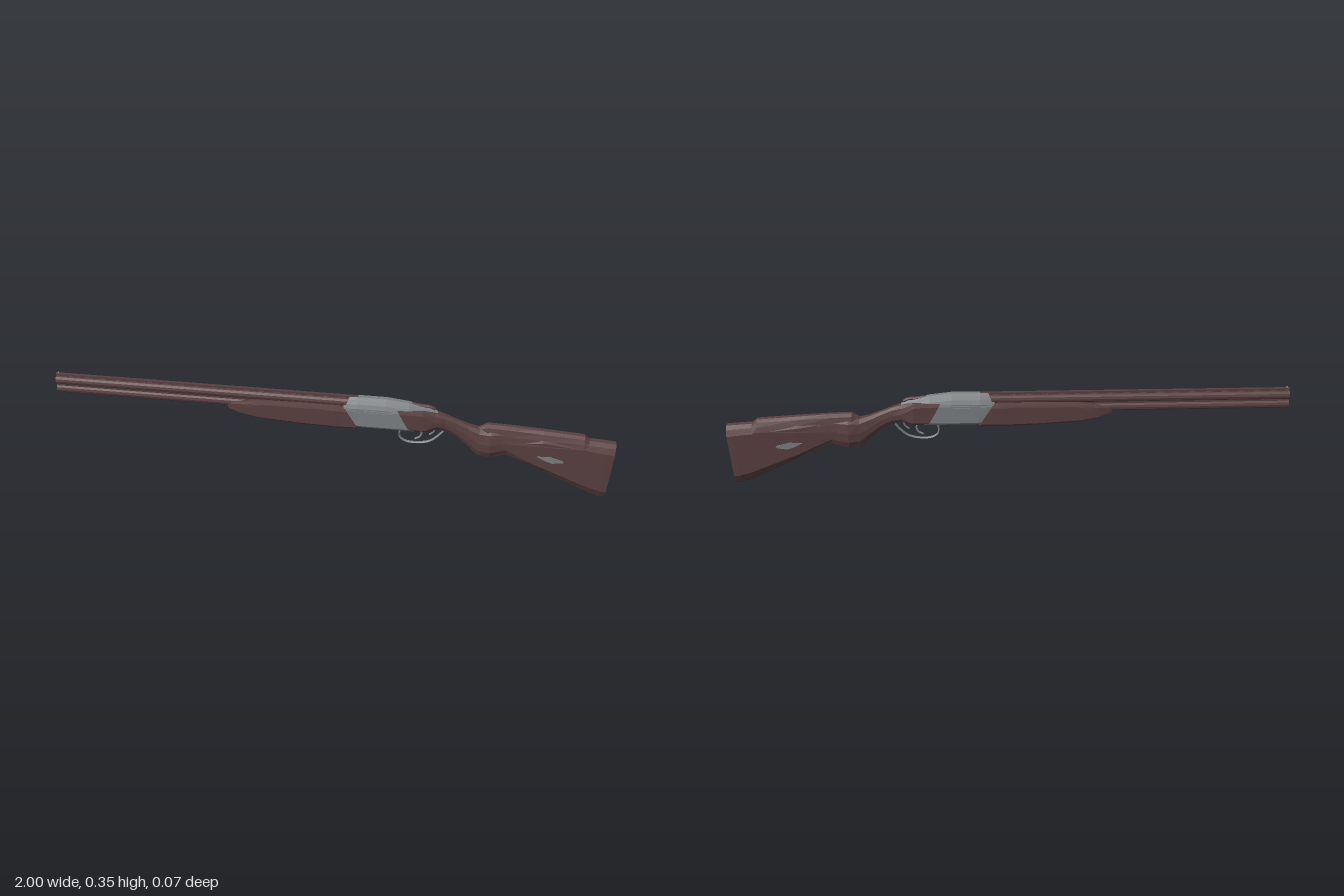
import * as THREE from 'three';

const mat = (name, color) => {
  const m = new THREE.MeshStandardMaterial({ color, flatShading: true });
  m.name = name;
  return m;
};

// Half cross-sections from bottom to top: [width fraction, height fraction]
const ROUND = [[0, 0], [0.6, 0.07], [0.95, 0.28], [1, 0.55], [0.8, 0.85], [0.4, 0.98]];
const SLAB = [[0, 0], [0.6, 0.06], [1, 0.18], [1, 0.86], [0.7, 0.95], [0.3, 1]];
const BOXY = [[0, 0], [0.8, 0], [1, 0.1], [1, 0.85], [0.9, 0.97], [0.6, 1]];
const DOME = [[0, 0], [1, 0], [1, 0.2], [0.8, 0.55], [0.55, 0.85], [0.25, 1]];

// Skin through stations along x: [xTop, yTop, xBottom, yBottom, halfWidth, section]
function loft(stations) {
  const rings = stations.map(([xt, yt, xb, yb, w, sec]) => {
    const point = (z, v) => [xb + (xt - xb) * v, yb + (yt - yb) * v, z * w];
    const left = sec.map(([z, v]) => point(z, v));
    const right = sec.slice(1).reverse().map(([z, v]) => point(-z, v));
    return [...left, ...right];
  });
  const n = rings[0].length, pos = [];
  const tri = (a, b, c) => pos.push(...a, ...b, ...c);
  for (let i = 0; i < rings.length - 1; i++) {
    for (let j = 0; j < n; j++) {
      const k = (j + 1) % n, a = rings[i], b = rings[i + 1];
      tri(a[j], b[j], b[k]);
      tri(a[j], b[k], a[k]);
    }
  }
  const first = rings[0], last = rings[rings.length - 1];
  for (let j = 1; j < n - 1; j++) {
    tri(first[0], first[j], first[j + 1]);
    tri(last[0], last[j + 1], last[j]);
  }
  const g = new THREE.BufferGeometry();
  g.setAttribute('position', new THREE.Float32BufferAttribute(pos, 3));
  g.computeVertexNormals();
  return g;
}

export function createModel() {
  const model = new THREE.Group();
  model.name = 'overUnderShotgun';
  const brown = mat('brown', 0x5a4040);
  const steel = mat('steel grey', 0x7d8184);
  const dark = mat('dark bore', 0x241c1c);

  const add = (name, geometry, material, x = 0, y = 0, z = 0) => {
    const mesh = new THREE.Mesh(geometry, material);
    mesh.name = name;
    mesh.position.set(x, y, z);
    model.add(mesh);
    return mesh;
  };
  const box = (name, m, x0, x1, y0, y1, width, z = 0) =>
    add(name, new THREE.BoxGeometry(x1 - x0, y1 - y0, width), m, (x0 + x1) / 2, (y0 + y1) / 2, z);
  const tube = (name, points, radius, m, flat = 1) => {
    const curve = new THREE.CatmullRomCurve3(points.map(([x, y]) => new THREE.Vector3(x, y, 0)));
    add(name, new THREE.TubeGeometry(curve, 24, radius, 6), m).scale.z = flat;
  };

  // Stacked barrels with open muzzles
  for (const [name, y] of [['upperBarrel', 0.321], ['lowerBarrel', 0.287]]) {
    add(name, new THREE.CylinderGeometry(0.0165, 0.0165, 1.12, 12, 1, true).rotateZ(Math.PI / 2), brown, -0.44, y);
    add(name + 'Muzzle', new THREE.RingGeometry(0.012, 0.0165, 12).rotateY(-Math.PI / 2), brown, -1, y);
    add(name + 'Bore', new THREE.CircleGeometry(0.012, 12).rotateY(-Math.PI / 2), dark, -0.996, y);
  }
  box('barrelJoiner', brown, -0.995, 0.1, 0.292, 0.316, 0.018);

  // Sighting rib on short posts, with a front bead
  box('sightRib', brown, -1, 0.1, 0.342, 0.347, 0.011);
  for (let i = 0; i < 19; i++) {
    const x = -0.99 + i * 0.058;
    box('ribPost', brown, x, x + 0.038, 0.334, 0.343, 0.007);
  }
  add('sightBead', new THREE.SphereGeometry(0.004, 8, 6), steel, -0.99, 0.349);

  // Fore-end, slanted at the rear, with long raised side panels
  add('foreEnd', loft([
    [-0.37, 0.285, -0.365, 0.263, 0.014, BOXY],
    [-0.32, 0.298, -0.32, 0.25, 0.025, BOXY],
    [-0.26, 0.306, -0.26, 0.238, 0.029, BOXY],
    [-0.1, 0.312, -0.1, 0.229, 0.033, BOXY],
    [0.02, 0.312, 0.03, 0.226, 0.034, BOXY],
    [0.055, 0.31, 0.105, 0.228, 0.033, BOXY],
  ]), brown);
  const panel = new THREE.Shape([[-0.3, 0.286], [-0.27, 0.277], [-0.02, 0.279], [0, 0.291], [-0.02, 0.301], [-0.24, 0.299]]
    .map(([x, y]) => new THREE.Vector2(x, y)));
  for (const side of [-1, 1]) {
    const mesh = add('foreEndPanel', new THREE.ExtrudeGeometry(panel, { depth: 0.004, bevelEnabled: false })
      .translate(0, 0, -0.002), brown, 0, 0, side * 0.0325);
    mesh.rotation.y = -side * 0.01;
  }

  // Steel receiver: lower body, domed top and tang
  add('receiverBody', loft([
    [0.05, 0.315, 0.085, 0.235, 0.03, BOXY],
    [0.12, 0.32, 0.12, 0.234, 0.033, BOXY],
    [0.25, 0.318, 0.3, 0.234, 0.033, BOXY],
  ]), steel);
  add('receiverTop', loft([
    [0.07, 0.345, 0.05, 0.3, 0.028, DOME],
    [0.1, 0.347, 0.1, 0.305, 0.032, DOME],
    [0.2, 0.347, 0.2, 0.305, 0.032, DOME],
    [0.28, 0.338, 0.28, 0.298, 0.03, DOME],
    [0.335, 0.324, 0.335, 0.29, 0.021, DOME],
    [0.38, 0.31, 0.38, 0.28, 0.01, DOME],
  ]), steel);
  for (const side of [-1, 1]) box('receiverRail', steel, 0.08, 0.23, 0.296, 0.302, 0.003, side * 0.0335);

  // Top lever
  tube('topLever', [[0.29, 0.333], [0.33, 0.328], [0.355, 0.326], [0.37, 0.318]], 0.005, brown, 1.4);

  // Trigger guard and trigger
  tube('triggerGuard', [[0.262, 0.237], [0.25, 0.215], [0.252, 0.188], [0.275, 0.173], [0.325, 0.172],
    [0.36, 0.183], [0.385, 0.205], [0.405, 0.23]], 0.0035, steel, 1.8);
  tube('trigger', [[0.318, 0.238], [0.328, 0.215], [0.322, 0.196], [0.305, 0.186]], 0.004, steel);
  tube('guardStrut', [[0.375, 0.24], [0.37, 0.222], [0.355, 0.208]], 0.003, steel);

  // Stock: head, wrist, pistol grip with palm swell, butt
  add('stock', loft([
    [0.24, 0.318, 0.285, 0.236, 0.0345, BOXY],
    [0.33, 0.316, 0.34, 0.236, 0.034, BOXY],
    [0.37, 0.309, 0.38, 0.238, 0.027, ROUND],
    [0.41, 0.297, 0.41, 0.232, 0.019, ROUND],
    [0.45, 0.281, 0.45, 0.212, 0.017, ROUND],
    [0.49, 0.266, 0.49, 0.176, 0.02, ROUND],
    [0.53, 0.256, 0.53, 0.138, 0.026, ROUND],
    [0.57, 0.258, 0.57, 0.136, 0.033, ROUND],
    [0.63, 0.258, 0.63, 0.15, 0.023, ROUND],
    [0.75, 0.25, 0.75, 0.1, 0.031, SLAB],
    [0.86, 0.245, 0.86, 0.047, 0.032, SLAB],
    [0.93, 0.24, 0.93, 0.014, 0.032, SLAB],
    [0.975, 0.237, 0.965, 0.003, 0.032, SLAB],
  ]), brown);
  add('buttPad', loft([
    [0.975, 0.237, 0.965, 0.001, 0.0325, SLAB],
    [1, 0.235, 0.987, 0, 0.032, SLAB],
  ]), brown);
  add('combRest', loft([
    [0.525, 0.257, 0.53, 0.215, 0.014, DOME],
    [0.555, 0.275, 0.56, 0.2, 0.026, DOME],
    [0.63, 0.273, 0.63, 0.195, 0.026, DOME],
    [0.75, 0.266, 0.75, 0.2, 0.032, DOME],
    [0.89, 0.257, 0.89, 0.205, 0.033, DOME],
    [0.91, 0.24, 0.905, 0.21, 0.031, DOME],
  ]), brown);

  // Slanted steel inlays on both sides of the butt
  const inlay = new THREE.Shape([[0.735, 0.172], [0.78, 0.175], [0.825, 0.163], [0.83, 0.155], [0.79, 0.148], [0.765, 0.156]]
    .map(([x, y]) => new THREE.Vector2(x, y)));
  for (const side of [-1, 1]) {
    add('stockInlay', new THREE.ExtrudeGeometry(inlay, { depth: 0.004, bevelEnabled: false })
      .translate(0, 0, -0.002), steel, 0, 0, side * 0.031);
  }
  return model;
}
